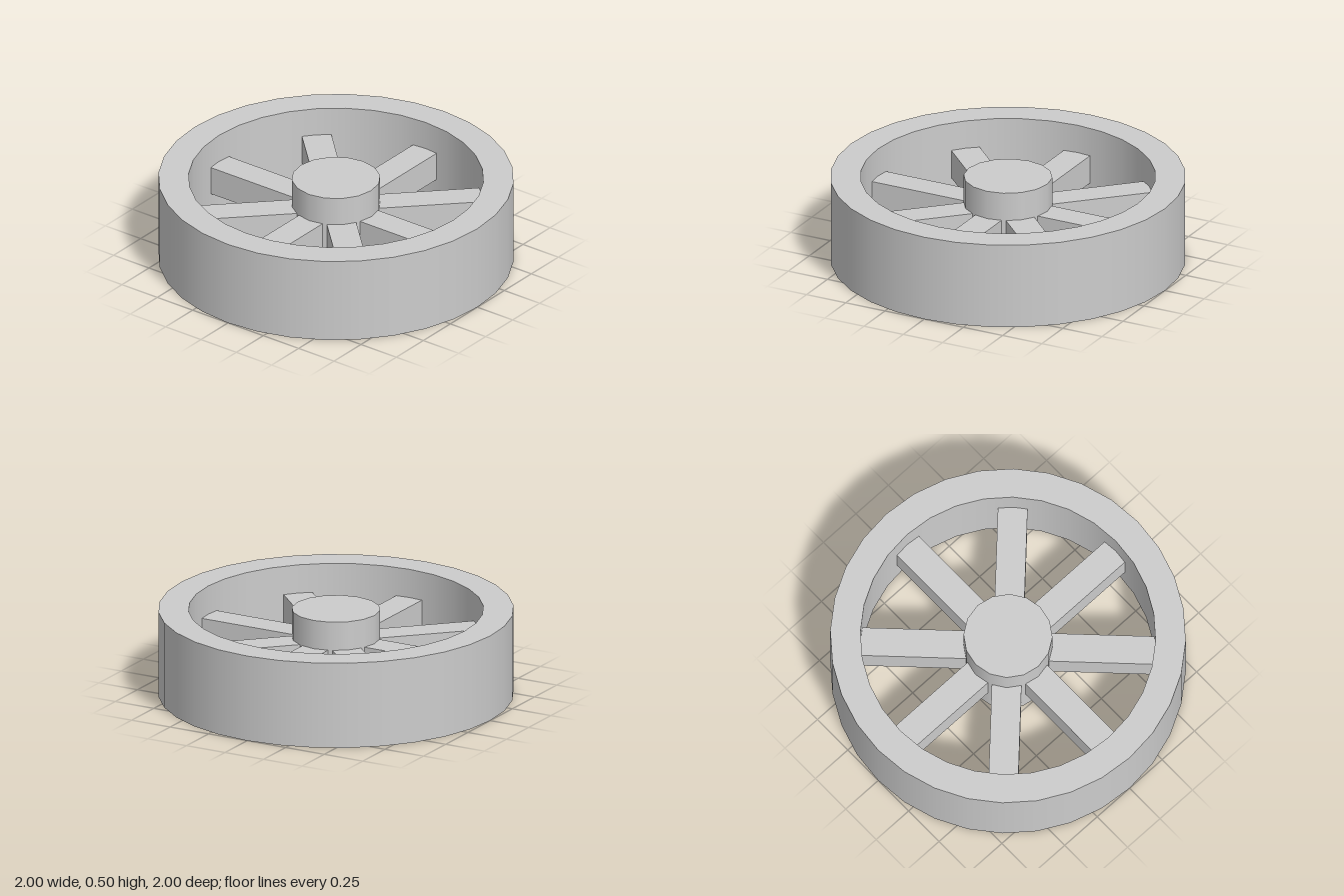
import * as THREE from 'three';
import { mergeGeometries } from 'three/addons/utils/BufferGeometryUtils.js';

const HEIGHT = 0.5, OUTER = 1, INNER = 0.83, HUB = 0.25, SPOKE = 0.167;

export function createModel() {
  const model = new THREE.Group();
  model.name = 'spokedWheel';
  const grey = new THREE.MeshStandardMaterial({ color: 0xcccccc });
  grey.name = 'light grey';

  const add = (name, geometry) => {
    const mesh = new THREE.Mesh(geometry, grey);
    mesh.name = name;
    model.add(mesh);
    return mesh;
  };

  // Rim: a rectangular ring, one lathe per side so its edges stay sharp
  const profile = [[OUTER, 0], [OUTER, HEIGHT], [INNER, HEIGHT], [INNER, 0]]
    .map(([x, y]) => new THREE.Vector2(x, y));
  add('rim', mergeGeometries(profile.map((p, i) =>
    new THREE.LatheGeometry([p, profile[(i + 1) % 4]], 32))));

  // Hub: as tall as the rim
  add('hub', new THREE.CylinderGeometry(HUB, HUB, HEIGHT, 16)).position.y = HEIGHT / 2;

  // Eight square spokes at mid height, sunk into the hub and the rim
  const start = 0.15, end = 0.86;
  for (let i = 0; i < 8; i++) {
    const bar = new THREE.BoxGeometry(end - start, SPOKE, SPOKE);
    bar.translate((start + end) / 2, HEIGHT / 2, 0);
    add(`spoke${i + 1}`, bar).rotation.y = i * Math.PI / 4;
  }
  return model;
}
